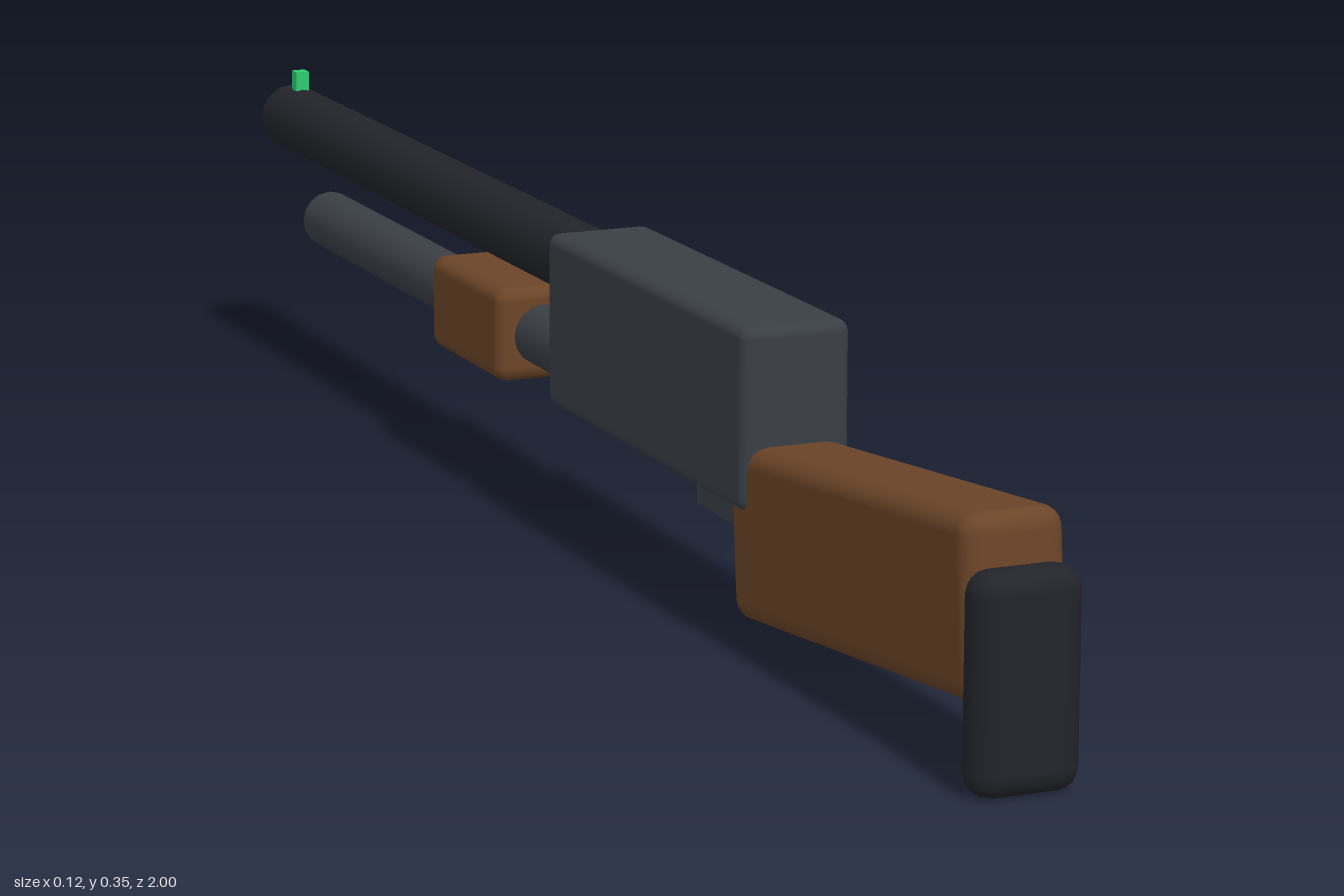
import * as THREE from 'three';
import { RoundedBoxGeometry } from 'three/addons/geometries/RoundedBoxGeometry.js';

const mat = (color) => new THREE.MeshStandardMaterial({ color });

export function createModel() {
  const group = new THREE.Group();
  const black = mat(0x22242a), steel = mat(0x3a3f45), wood = mat(0x6b4528), green = mat(0x2ecc71);

  const add = (name, geometry, material, y, z) => {
    const mesh = new THREE.Mesh(geometry, material);
    mesh.name = name;
    mesh.position.set(0, y, z);
    group.add(mesh);
    return mesh;
  };
  const rounded = (name, w, h, d, r, material, y, z) =>
    add(name, new RoundedBoxGeometry(w, h, d, 2, r), material, y, z);
  const box = (name, w, h, d, material, y, z) =>
    add(name, new THREE.BoxGeometry(w, h, d), material, y, z);
  // Round bar lying along z between two ends
  const bar = (name, r, z0, z1, material, y) =>
    add(name, new THREE.CylinderGeometry(r, r, z1 - z0, 16).rotateX(Math.PI / 2), material, y, (z0 + z1) / 2);

  // Main body
  rounded('receiver', 0.118, 0.188, 0.512, 0.013, steel, 0.244, 0.229);

  // Barrel with the tube and sliding grip below it
  bar('barrel', 0.039, -1, 0, black, 0.294);
  bar('magazineTube', 0.034, -0.867, 0, steel, 0.189);
  rounded('pumpGrip', 0.106, 0.106, 0.21, 0.016, wood, 0.19, -0.285);
  box('frontSight', 0.016, 0.026, 0.016, green, 0.342, -0.967);

  // Sloping stock and butt pad
  rounded('stock', 0.106, 0.178, 0.535, 0.021, wood, 0.149, 0.702).rotation.x = -0.1;
  rounded('buttPad', 0.112, 0.216, 0.05, 0.024, black, 0.108, 0.975);

  // Guard plate and trigger under the body
  box('triggerGuard', 0.07, 0.024, 0.13, steel, 0.133, 0.385);
  box('trigger', 0.02, 0.04, 0.024, black, 0.148, 0.39);

  return group;
}
